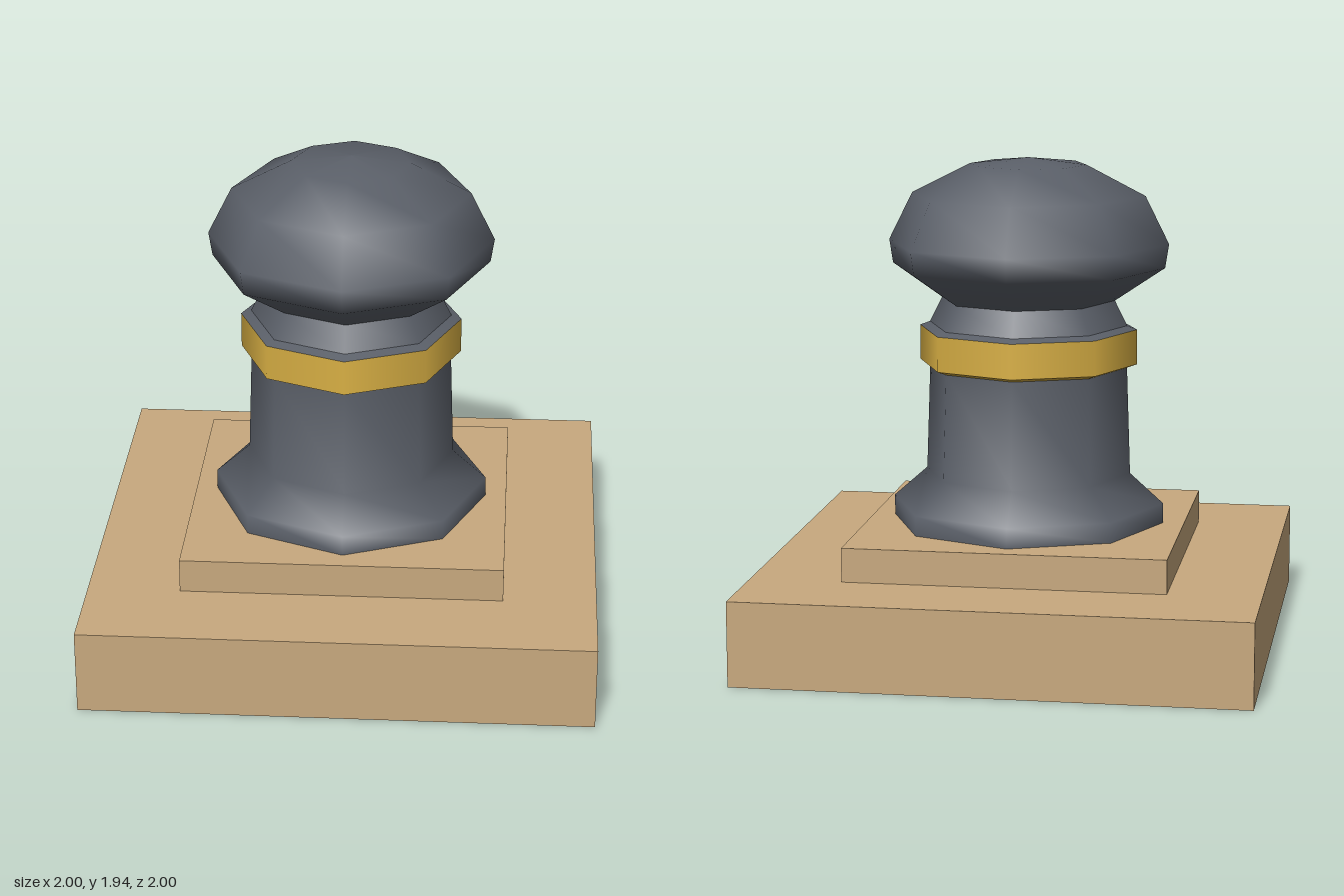
import * as THREE from 'three';

export function createModel() {
  const group = new THREE.Group();
  const material = (name, color) => {
    const m = new THREE.MeshStandardMaterial({ color });
    m.name = name;
    return m;
  };
  const wood = material('tan wood', 0xc8a97e);
  const iron = material('dark iron', 0x5a5f68);
  const gold = material('gold', 0xd9b044);

  const add = (name, geometry, mat, y = 0) => {
    const mesh = new THREE.Mesh(geometry, mat);
    mesh.name = name;
    mesh.position.y = y;
    group.add(mesh);
  };
  // Eight-sided turned part from [radius, height] pairs, bottom to top
  const turned = (name, mat, profile) =>
    add(name, new THREE.LatheGeometry(profile.map(([r, y]) => new THREE.Vector2(r, y)), 8), mat);

  // Stepped square base
  add('baseSlab', new THREE.BoxGeometry(2, 0.335, 2), wood, 0.1675);
  add('baseStep', new THREE.BoxGeometry(1.27, 0.135, 1.27), wood, 0.4025);

  // Post with flared foot
  turned('post', iron, [[0.55, 0.47], [0.55, 0.55], [0.415, 0.67], [0.4, 1.105]]);

  // Gold band: underside and outer face keep a sharp edge between them
  turned('bandUnderside', gold, [[0.4, 1.1], [0.44, 1.115]]);
  turned('band', gold, [[0.44, 1.115], [0.44, 1.255]]);

  // Neck above the band
  turned('neckShoulder', iron, [[0.44, 1.255], [0.4, 1.27]]);
  turned('neck', iron, [[0.4, 1.27], [0.35, 1.37]]);

  // Mushroom head
  turned('head', iron, [[0.35, 1.37], [0.55, 1.505], [0.565, 1.6], [0.47, 1.79], [0.235, 1.91], [0, 1.937]]);

  return group;
}
